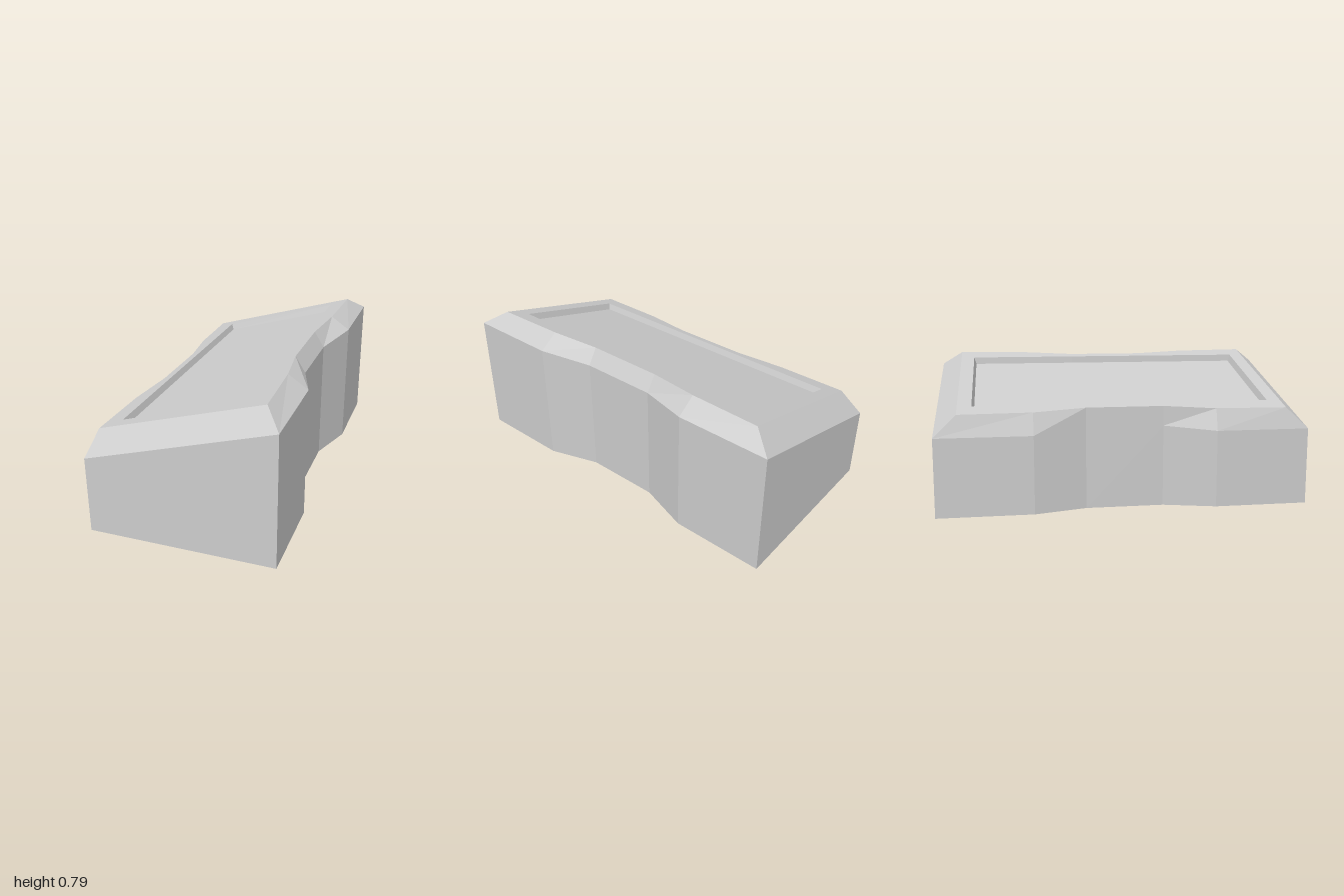
import * as THREE from 'three';

const WAIST = [0.49, 0.21, -0.21, -0.49]; // z stations where the sides bend

// Loop of 12 corners, counter-clockwise from above.
// end, mid, waist: [left x, right x] at the ends, the bends and the waist
function ring(zEnd, end, mid, waist, height) {
  const zs = [zEnd, ...WAIST, -zEnd];
  const xs = [end, mid, waist, waist, mid, end];
  const right = zs.map((z, i) => [xs[i][1], height(xs[i][1]), z]);
  const left = zs.map((z, i) => [xs[i][0], height(xs[i][0]), z]);
  return [...right, ...left.reverse()];
}

function quad(out, a, b, c, d) {
  out.push(...a, ...b, ...c, ...a, ...c, ...d);
}

// Strip of quads joining two loops
function band(lower, upper) {
  const out = [];
  lower.forEach((p, i) => {
    const j = (i + 1) % lower.length;
    quad(out, p, lower[j], upper[j], upper[i]);
  });
  return out;
}

// Closes a loop with strips running from its right to its left side
function cap(loop, facingUp) {
  const out = [];
  const n = loop.length;
  for (let i = 0; i < n / 2 - 1; i++) {
    const q = [loop[i], loop[i + 1], loop[n - 2 - i], loop[n - 1 - i]];
    if (!facingUp) q.reverse();
    quad(out, ...q);
  }
  return out;
}

export function createModel() {
  const group = new THREE.Group();
  group.name = 'slopedWaistedBlock';
  const material = new THREE.MeshStandardMaterial({ color: 0xcccccc, flatShading: true });

  const add = (name, positions) => {
    const geometry = new THREE.BufferGeometry();
    geometry.setAttribute('position', new THREE.Float32BufferAttribute(positions, 3));
    geometry.computeVertexNormals();
    const mesh = new THREE.Mesh(geometry, material);
    mesh.name = name;
    group.add(mesh);
  };

  // Sloping planes of the wall edge, the top and the sunken floor
  const edgeY = (x) => 0.566 + 0.3 * x;
  const topY = (x) => 0.672 + 0.297 * x;
  const floorY = (x) => topY(x) - 0.038;

  const outer = [[-0.497, 0.497], [-0.497, 0.497], [-0.42, 0.408]];
  const inner = [-0.375, 0.31];
  const sunk = [-0.362, 0.308];

  const base = ring(1, ...outer, () => 0);
  const edge = ring(1, ...outer, edgeY);
  const rim = ring(0.88, [-0.47, 0.405], [-0.463, 0.39], [-0.42, 0.352], topY);
  const lip = ring(0.805, inner, inner, inner, topY);
  const floor = ring(0.793, sunk, sunk, sunk, floorY);

  add('underside', cap(base, false));
  add('walls', band(base, edge));
  add('bevel', band(edge, rim));
  add('topFrame', band(rim, lip));
  add('recessWalls', band(lip, floor));
  add('recessFloor', cap(floor, true));

  return group;
}
